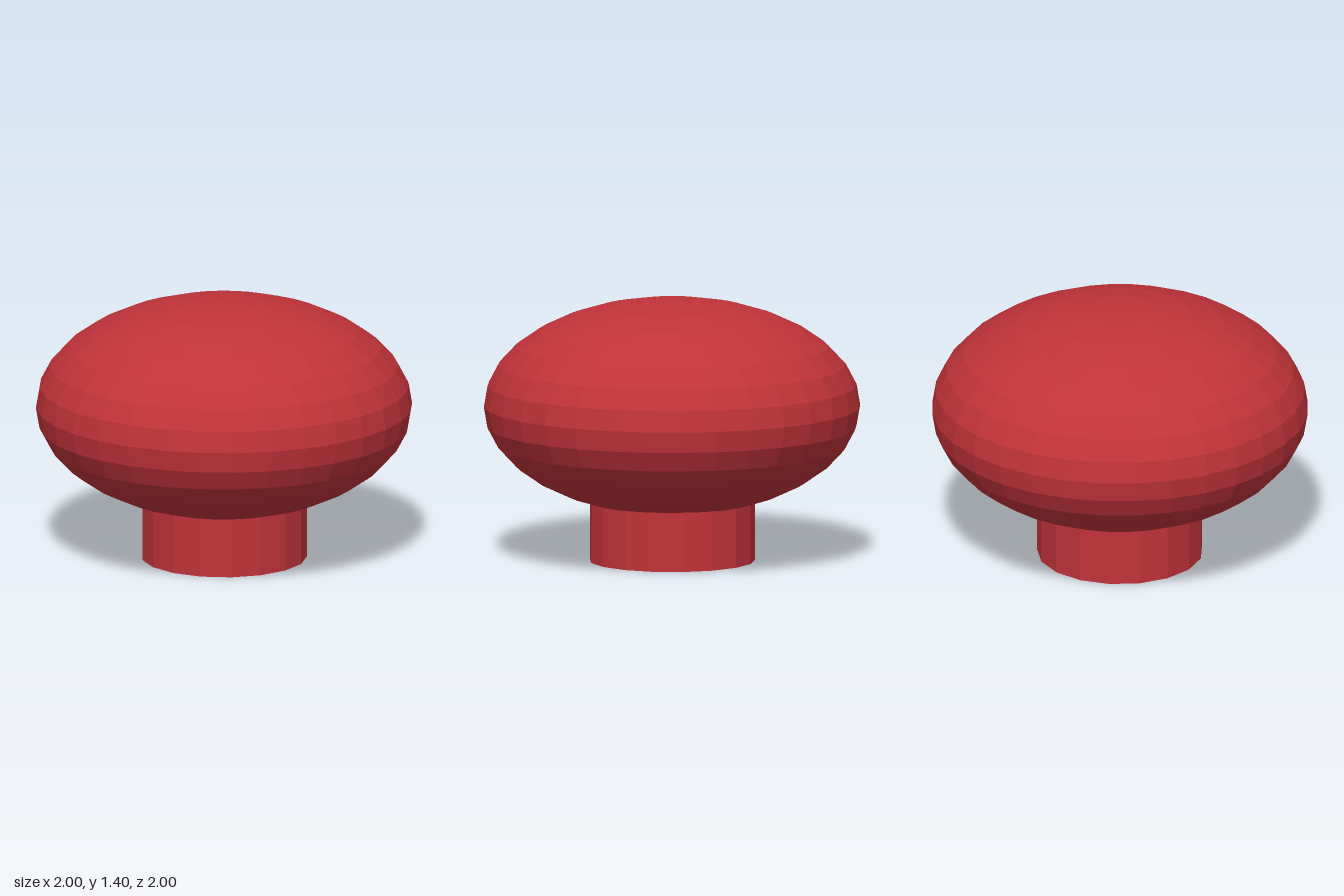
import * as THREE from 'three';

export function createModel() {
  const group = new THREE.Group();
  const red = new THREE.MeshStandardMaterial({ color: 0xc1333a, flatShading: true });

  // Flattened faceted ball
  const knob = new THREE.Mesh(new THREE.SphereGeometry(1, 32, 16), red);
  knob.name = 'knob';
  knob.scale.y = 0.572;
  knob.position.y = 0.829;
  group.add(knob);

  // Seventeen-sided stem with one corner on -x, its top sunk into the knob
  const stemHeight = 0.45;
  const stem = new THREE.Mesh(
    new THREE.CylinderGeometry(0.44, 0.44, stemHeight, 17, 1, false, -Math.PI / 2),
    red
  );
  stem.name = 'stem';
  stem.position.y = stemHeight / 2;
  group.add(stem);

  return group;
}
